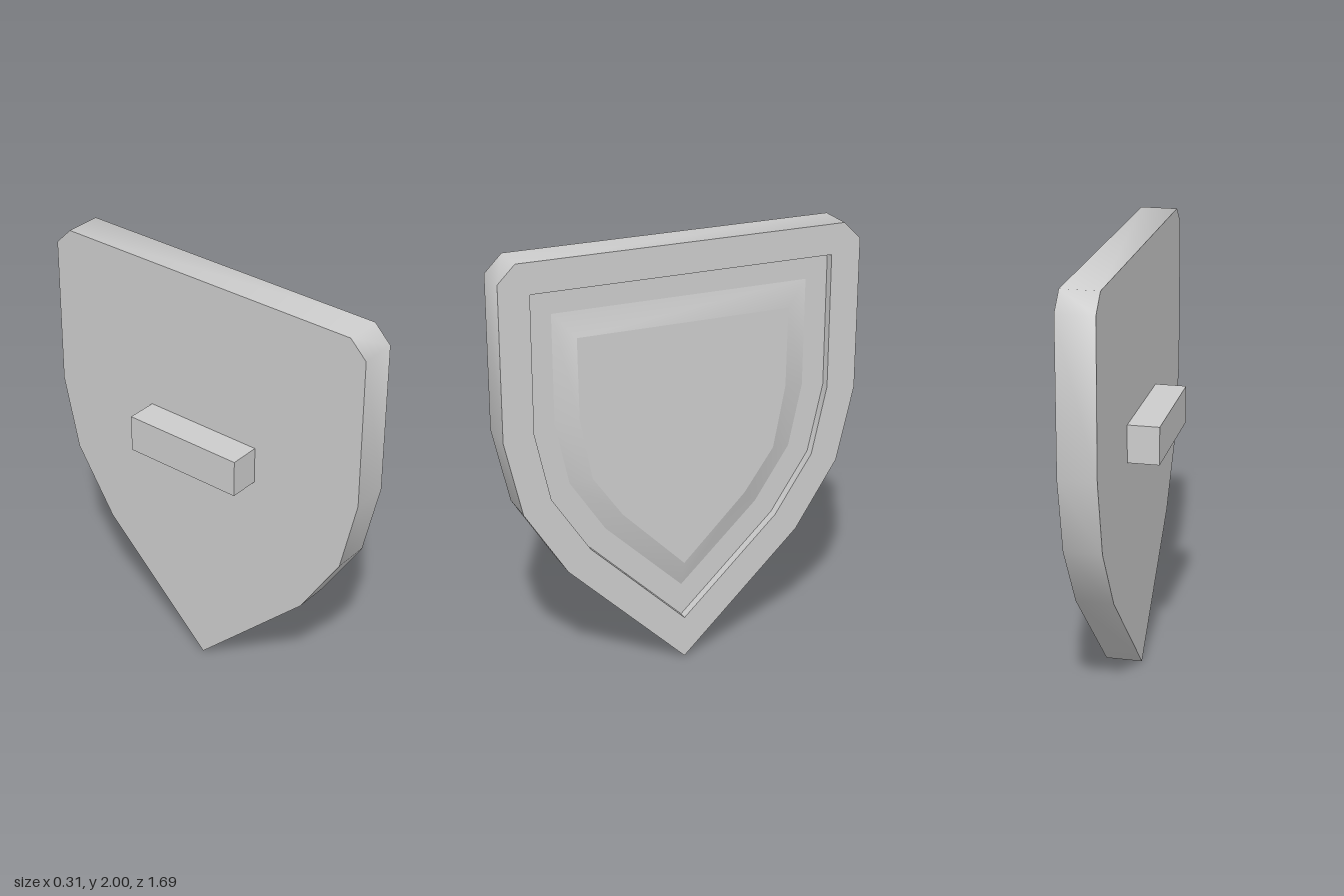
import * as THREE from 'three';
import { toCreasedNormals } from 'three/addons/utils/BufferGeometryUtils.js';

// The shield faces +x; outlines are given as [half width, height], bottom to top
const OUTER = [[0, 0], [0.565, 0.55], [0.765, 0.865], [0.845, 1.215], [0.845, 1.92], [0.765, 2]];
const RECESS = [[0, 0.2], [0.455, 0.64], [0.635, 0.915], [0.705, 1.235], [0.705, 1.86]];
const BOSS_FOOT = [[0, 0.355], [0.37, 0.71], [0.535, 0.96], [0.597, 1.25], [0.6, 1.75]];
const BOSS_TOP = [[0, 0.48], [0.3, 0.78], [0.44, 0.98], [0.495, 1.27], [0.5, 1.64]];

const BACK = -0.016, RIM = 0.155, FLOOR = 0.114, PANEL = 0.15;

// Mirror a half outline into a closed loop, counter-clockwise seen from +x
function fullLoop(half) {
  const mirrored = half.slice(1).reverse().map(([u, v]) => [-u, v]);
  return [...half, ...mirrored].map(([u, v]) => new THREE.Vector2(u, v));
}

// Flat face at a given x, optionally with a hole, facing +x or -x
function flatFace(half, x, hole, facing = 1) {
  const shape = new THREE.Shape(fullLoop(half));
  if (hole) shape.holes.push(new THREE.Path(fullLoop(hole)));
  return new THREE.ShapeGeometry(shape).rotateY(facing * Math.PI / 2).translate(x, 0, 0);
}

// Strip of quads joining two loops with equal point counts
function band(halfA, xA, halfB, xB) {
  const a = fullLoop(halfA), b = fullLoop(halfB), n = a.length;
  const positions = [], index = [];
  for (const p of a) positions.push(xA, p.y, -p.x);
  for (const p of b) positions.push(xB, p.y, -p.x);
  for (let i = 0; i < n; i++) {
    const j = (i + 1) % n;
    index.push(i, j, n + j, i, n + j, n + i);
  }
  const geometry = new THREE.BufferGeometry();
  geometry.setAttribute('position', new THREE.Float32BufferAttribute(positions, 3));
  geometry.setIndex(index);
  return toCreasedNormals(geometry, 0.95);
}

export function createModel() {
  const shield = new THREE.Group();
  shield.name = 'shield';
  const grey = new THREE.MeshStandardMaterial({ color: 0xcccccc });
  grey.name = 'lightGrey';

  const add = (name, geometry) => {
    const mesh = new THREE.Mesh(geometry, grey);
    mesh.name = name;
    shield.add(mesh);
    return mesh;
  };

  // Thick body
  add('outerEdge', band(OUTER, BACK, OUTER, RIM));
  add('backFace', flatFace(OUTER, BACK, null, -1));
  add('rim', flatFace(OUTER, RIM, RECESS));

  // Sunken field with a raised, bevelled centre
  add('recessWall', band(RECESS, RIM, RECESS, FLOOR));
  add('recessFloor', flatFace(RECESS, FLOOR, BOSS_FOOT));
  add('centreBevel', band(BOSS_FOOT, FLOOR, BOSS_TOP, PANEL));
  add('centrePanel', flatFace(BOSS_TOP, PANEL));

  // Grip on the back
  add('handle', new THREE.BoxGeometry(0.145, 0.175, 0.59)).position.set(-0.0875, 1.193, -0.003);

  return shield;
}
